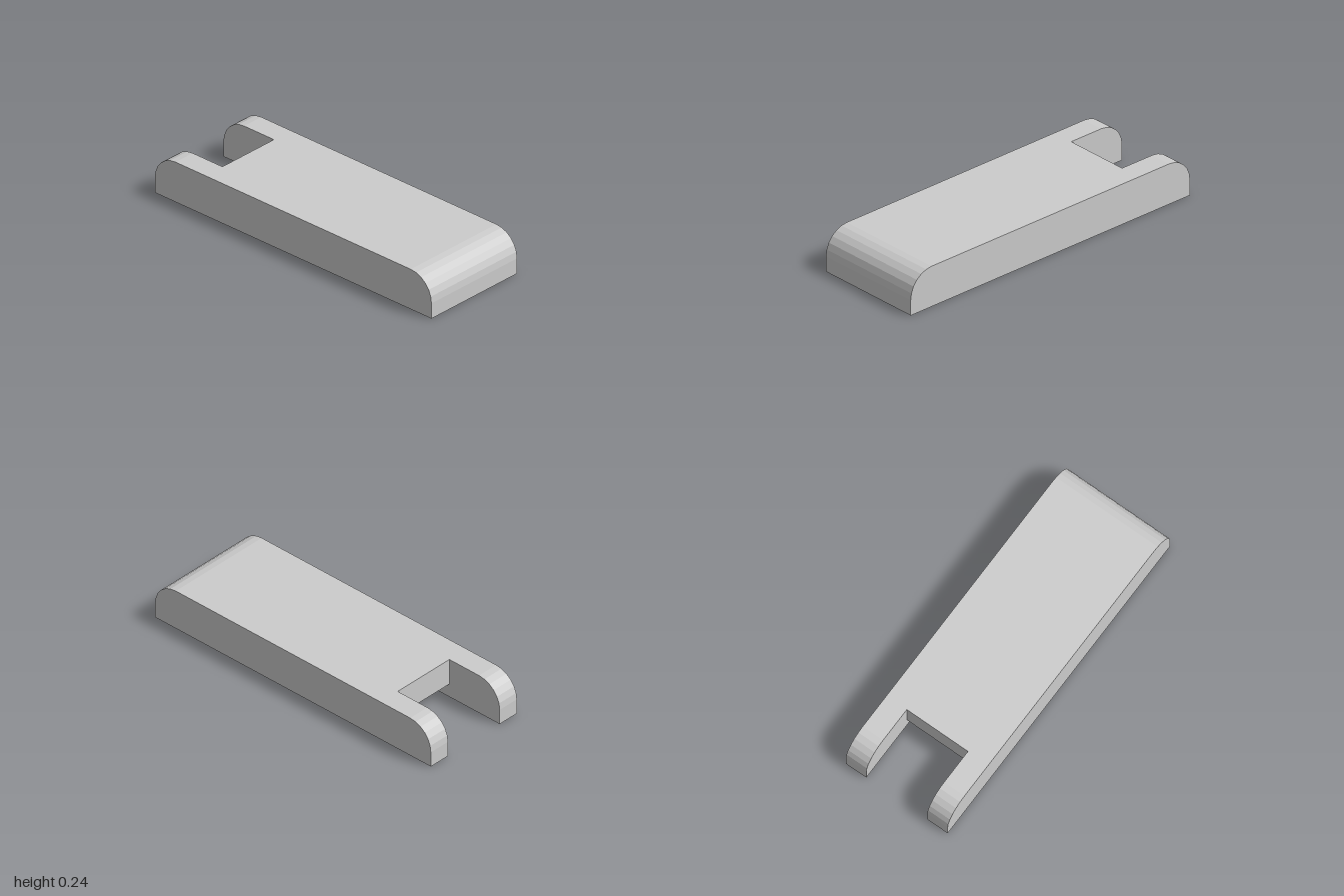
import * as THREE from 'three';

const W = 0.333, INNER = 0.2, H = 0.242, R = 0.15; // half width, half slot width, height, end radius
const NOTCH = -0.635, POCKET = 0.867, DEPTH = 0.083; // notch floor z, pocket front z, pocket depth
const STEPS = 6;

// Rounded end as [z, y] points from the ground to the top; s = 1 front, -1 back
function endCurve(s) {
  const pts = [[s, 0]];
  for (let i = 0; i <= STEPS; i++) {
    const a = (i / STEPS) * Math.PI / 2;
    pts.push([s * (1 - R + R * Math.cos(a)), H - R + R * Math.sin(a)]);
  }
  return pts;
}

// Collects flat polygons into one geometry, each wound to face its given normal
class Faces {
  positions = [];
  add(corners, normal) {
    const n = new THREE.Vector3(...normal);
    const pts = corners.map(c => new THREE.Vector3(...c));
    const size = normal.map(Math.abs);
    const drop = size.indexOf(Math.max(...size));
    const flat = corners.map(c => new THREE.Vector2(...c.filter((_, i) => i !== drop)));
    for (const [a, b, c] of THREE.ShapeUtils.triangulateShape(flat, [])) {
      const cross = pts[b].clone().sub(pts[a]).cross(pts[c].clone().sub(pts[a]));
      const order = cross.dot(n) > 0 ? [a, b, c] : [a, c, b];
      for (const i of order) this.positions.push(...pts[i].toArray());
    }
  }
  // Strip across the width between x0 and x1 along a rounded end
  addEnd(s, x0, x1) {
    const curve = endCurve(s);
    for (let i = 0; i + 1 < curve.length; i++) {
      const [z0, y0] = curve[i], [z1, y1] = curve[i + 1];
      this.add([[x0, y0, z0], [x1, y0, z0], [x1, y1, z1], [x0, y1, z1]],
        [0, Math.abs(z1 - z0), s * (y1 - y0)]);
    }
  }
  mesh(name, material) {
    const geometry = new THREE.BufferGeometry();
    geometry.setAttribute('position', new THREE.Float32BufferAttribute(this.positions, 3));
    geometry.computeVertexNormals();
    const mesh = new THREE.Mesh(geometry, material);
    mesh.name = name;
    return mesh;
  }
}

// Fork-shaped plan at height y, with its slot reaching forward to z = slot
function plan(y, front, back, slot) {
  return [[-W, front], [W, front], [W, back], [INNER, back],
    [INNER, slot], [-INNER, slot], [-INNER, back], [-W, back]].map(([x, z]) => [x, y, z]);
}

export function createModel() {
  const group = new THREE.Group();
  const grey = new THREE.MeshStandardMaterial({ color: 0xcccccc });
  grey.name = 'grey';

  // Outer shell: top, underside rim, long sides and rounded ends
  const shell = new Faces();
  shell.add(plan(H, 1 - R, -1 + R, NOTCH), [0, 1, 0]);
  shell.add(plan(0, 1, -1, POCKET), [0, -1, 0]);
  const side = [...endCurve(1), ...endCurve(-1).reverse()];
  for (const s of [-1, 1]) {
    shell.add(side.map(([z, y]) => [s * W, y, z]), [s, 0, 0]);
    shell.addEnd(-1, s * INNER, s * W);
  }
  shell.addEnd(1, -W, W);
  group.add(shell.mesh('shell', grey));

  // Back notch running into the shallow pocket underneath
  const slot = new Faces();
  const wall = [...endCurve(-1), [NOTCH, H], [NOTCH, DEPTH], [POCKET, DEPTH], [POCKET, 0]];
  for (const s of [-1, 1]) slot.add(wall.map(([z, y]) => [s * INNER, y, z]), [-s, 0, 0]);
  const across = (z0, y0, z1, y1, normal) => slot.add(
    [[-INNER, y0, z0], [INNER, y0, z0], [INNER, y1, z1], [-INNER, y1, z1]], normal);
  across(NOTCH, DEPTH, NOTCH, H, [0, 0, -1]);
  across(NOTCH, DEPTH, POCKET, DEPTH, [0, -1, 0]);
  across(POCKET, 0, POCKET, DEPTH, [0, 0, -1]);
  group.add(slot.mesh('notchAndPocket', grey));

  return group;
}
